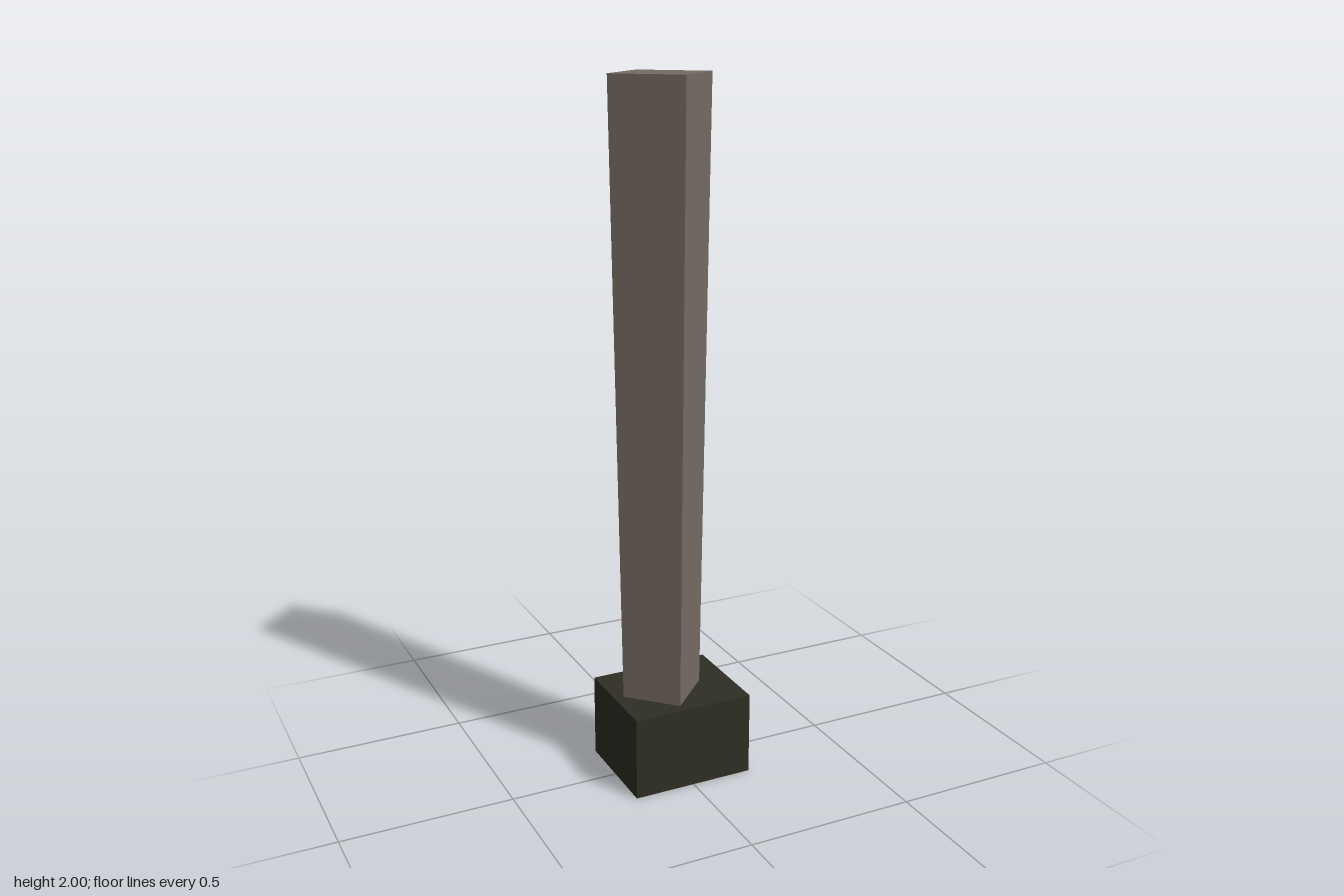
import * as THREE from 'three';

export function createModel() {
  const model = new THREE.Group();

  const stone = new THREE.MeshStandardMaterial({ color: 0x766c63 });
  stone.name = 'warm grey';
  const dark = new THREE.MeshStandardMaterial({ color: 0x2f2e23 });
  dark.name = 'dark olive';

  // Block at the foot
  const baseHeight = 0.245;
  const base = new THREE.Mesh(new THREE.BoxGeometry(0.362, baseHeight, 0.302), dark);
  base.name = 'base';
  base.position.y = baseHeight / 2;

  // Four-sided post set cornerwise, widening upwards and sunk into the base
  const foot = 0.2;
  const postHeight = 2 - foot;
  const postGeometry = new THREE.CylinderGeometry(0.151, 0.122, postHeight, 4).toNonIndexed();
  postGeometry.computeVertexNormals(); // flat sides
  const post = new THREE.Mesh(postGeometry, stone);
  post.name = 'post';
  post.position.set(-0.03, foot + postHeight / 2, 0);

  model.add(base, post);
  return model;
}
